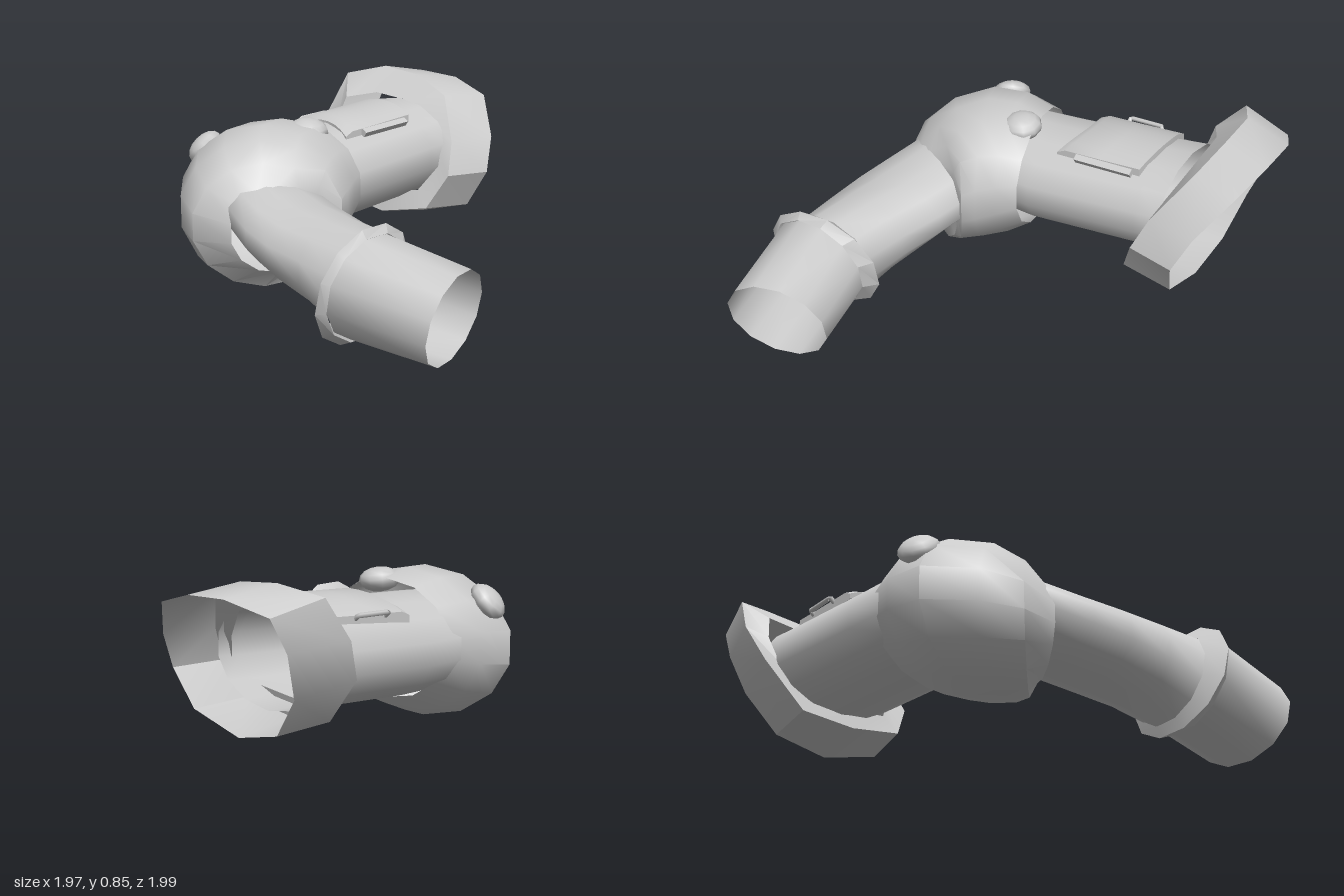
import * as THREE from 'three';
import { toCreasedNormals } from 'three/addons/utils/BufferGeometryUtils.js';

const material = new THREE.MeshStandardMaterial({ color: 0xcccccc, side: THREE.DoubleSide });

function add(group, name, geometry) {
  const mesh = new THREE.Mesh(geometry, material);
  mesh.name = name;
  group.add(mesh);
  return mesh;
}

// Skin a list of equal-length point rings
function loft(rings, crease = 0.6) {
  const n = rings[0].length, index = [];
  for (let i = 0; i < rings.length - 1; i++) {
    for (let j = 0; j < n; j++) {
      const a = i * n + j, b = i * n + (j + 1) % n;
      index.push(a, b, a + n, b, b + n, a + n);
    }
  }
  const g = new THREE.BufferGeometry();
  g.setAttribute('position', new THREE.Float32BufferAttribute(rings.flat(2), 3));
  g.setIndex(index);
  return toCreasedNormals(g, crease);
}

// Upright elliptical ring: d is its horizontal half-axis, h its half-height
function ring([cx, cy, cz], [dx, dz], h, n, tiltY = 0, tiltZ = 0) {
  return Array.from({ length: n }, (_, i) => {
    const t = (i + 0.5) / n * Math.PI * 2, c = Math.cos(t), s = Math.sin(t);
    return [cx + dx * c + tiltY * h * s + tiltZ * dz * c, cy + h * s, cz + dz * c];
  });
}

// Ring across the forearm, from its y and z limits
const armRing = (x, y0, y1, z0, z1, tiltY, tiltZ) =>
  ring([x, (y0 + y1) / 2, (z0 + z1) / 2], [0, (z1 - z0) / 2 * 1.02], (y1 - y0) / 2 * 1.02, 12, tiltY, tiltZ);

// Ring across the elbow, from inner and outer corner and y limits
const elbowRing = ([xi, zi], [xo, zo], y0, y1) =>
  ring([(xi + xo) / 2, (y0 + y1) / 2, (zi + zo) / 2], [(xo - xi) / 2, (zo - zi) / 2], (y1 - y0) / 2, 14);

const sleeveTop = (x, z) =>
  0.472 - z * 0.055 + 0.222 * Math.sqrt(Math.max(0, 1 - ((x + 0.55) / 0.325) ** 2));

export function createModel() {
  const arm = new THREE.Group();
  arm.name = 'bentArmArmour';

  // Upper sleeve
  add(arm, 'upperSleeve', loft([
    ring([-0.53, 0.46, 0.3], [0.29, 0], 0.22, 14),
    ring([-0.53, 0.465, 0.05], [0.315, 0], 0.225, 14),
    ring([-0.555, 0.5, -0.5], [0.322, 0], 0.228, 14),
    ring([-0.56, 0.51, -0.62], [0.325, 0], 0.23, 14),
  ], 0.9));

  // Flared shoulder cuff with a stepped neck
  const front = [
    [-1, 0.63, -0.57], [-0.97, 0.81, -0.68], [-0.79, 0.855, -0.77], [-0.57, 0.835, -0.77],
    [-0.36, 0.76, -0.73], [-0.2, 0.57, -0.6], [-0.16, 0.42, -0.53], [-0.24, 0.26, -0.46],
    [-0.5, 0.21, -0.43], [-0.75, 0.24, -0.45], [-0.94, 0.45, -0.48]];
  const back = [
    [-0.93, 0.6, -0.84], [-0.92, 0.75, -0.92], [-0.74, 0.81, -1], [-0.52, 0.8, -1],
    [-0.3, 0.74, -0.96], [-0.15, 0.57, -0.84], [-0.11, 0.41, -0.76], [-0.2, 0.24, -0.72],
    [-0.48, 0.165, -0.71], [-0.73, 0.22, -0.72], [-0.88, 0.4, -0.76]];
  const neck = front.map(([x, y, z]) => [
    -0.56 + (x + 0.56) * 0.78, 0.5 + (y - 0.5) * 0.68, z + 0.14 * Math.max(0, (y - 0.45) / 0.4) - 0.02]);
  add(arm, 'shoulderCuff', loft([back, front, neck], 0.6));

  // Elbow guard swept around the bend
  add(arm, 'elbowGuard', loft([
    elbowRing([-0.16, 0.07], [-0.81, 0.19], 0.21, 0.74),
    elbowRing([-0.11, 0.16], [-0.85, 0.36], 0.13, 0.775),
    elbowRing([-0.07, 0.24], [-0.83, 0.57], 0.08, 0.77),
    elbowRing([-0.05, 0.3], [-0.65, 0.74], 0.07, 0.73),
    elbowRing([-0.07, 0.33], [-0.48, 0.82], 0.09, 0.65),
    elbowRing([-0.1, 0.36], [-0.28, 0.77], 0.17, 0.56),
  ], 0.7));

  // Forearm sleeve
  add(arm, 'forearmSleeve', loft([
    armRing(-0.48, 0.38, 0.6, 0.34, 0.64),
    armRing(-0.3, 0.29, 0.58, 0.3, 0.76),
    armRing(-0.12, 0.23, 0.54, 0.3, 0.83),
    armRing(0.05, 0.19, 0.515, 0.35, 0.87),
    armRing(0.25, 0.135, 0.505, 0.42, 0.88),
    armRing(0.45, 0.06, 0.495, 0.48, 0.89, 0.2),
  ], 0.9));

  // Raised wrist flange and open hand cuff
  add(arm, 'wristFlange', loft([
    armRing(0.42, 0.07, 0.49, 0.48, 0.9, 0.2),
    armRing(0.455, 0.015, 0.535, 0.43, 0.99, 0.25, 0.05),
    armRing(0.5, 0.04, 0.5, 0.48, 0.96, 0.2),
  ], 0.4));
  add(arm, 'handCuff', loft([
    armRing(0.49, 0.05, 0.495, 0.48, 0.95, 0.2),
    armRing(0.895, 0.005, 0.41, 0.425, 0.87, 0.25, 0.25),
  ], 0.6));

  // Curved plate on top of the sleeve: closed cross-sections along z
  const steps = 8;
  const plateRing = (u, lift) => {
    const upper = [], lower = [];
    for (let i = 0; i <= steps; i++) {
      const t = i / steps, x = -0.785 + 0.43 * t;
      const bow = 0.05 * Math.sin(Math.PI * t);
      const z = -0.46 - bow * 0.5 + u * (0.43 - bow * 0.5);
      const y = sleeveTop(x, z);
      upper.push([x, y + lift, z]);
      lower.unshift([x, y - 0.02, z]);
    }
    return [...upper, ...lower];
  };
  add(arm, 'topPlate', loft([plateRing(0, -0.01), plateRing(0, 0.03), plateRing(0.5, 0.028),
    plateRing(0.9, 0.028), plateRing(1, 0.01), plateRing(1, -0.015)], 0.5));

  // Rail on the inner edge of the plate
  const rail = add(arm, 'plateRail', new THREE.BoxGeometry(0.03, 0.045, 0.29));
  rail.position.set(-0.35, 0.665, -0.28);
  rail.rotation.set(0.04, 0, -0.6);

  // Staple handle on the outer edge
  const handlePath = new THREE.CurvePath();
  const pts = [[-0.755, 0.64, -0.34], [-0.8, 0.675, -0.34], [-0.8, 0.67, -0.17], [-0.755, 0.63, -0.17]]
    .map(p => new THREE.Vector3(...p));
  for (let i = 0; i < 3; i++) handlePath.add(new THREE.LineCurve3(pts[i], pts[i + 1]));
  add(arm, 'plateHandle', new THREE.TubeGeometry(handlePath, 24, 0.011, 6));

  // Domed studs on the elbow
  const studs = [
    [[-0.39, 0.72, 0.18], [0.15, 1, 0]],
    [[-0.765, 0.635, 0.475], [-0.6, 0.7, 0.4]],
  ];
  for (const [p, normal] of studs) {
    const stud = add(arm, 'elbowStud', new THREE.SphereGeometry(0.093, 10, 8));
    stud.position.set(...p);
    stud.scale.y = 0.6;
    stud.quaternion.setFromUnitVectors(new THREE.Vector3(0, 1, 0), new THREE.Vector3(...normal).normalize());
  }
  return arm;
}
